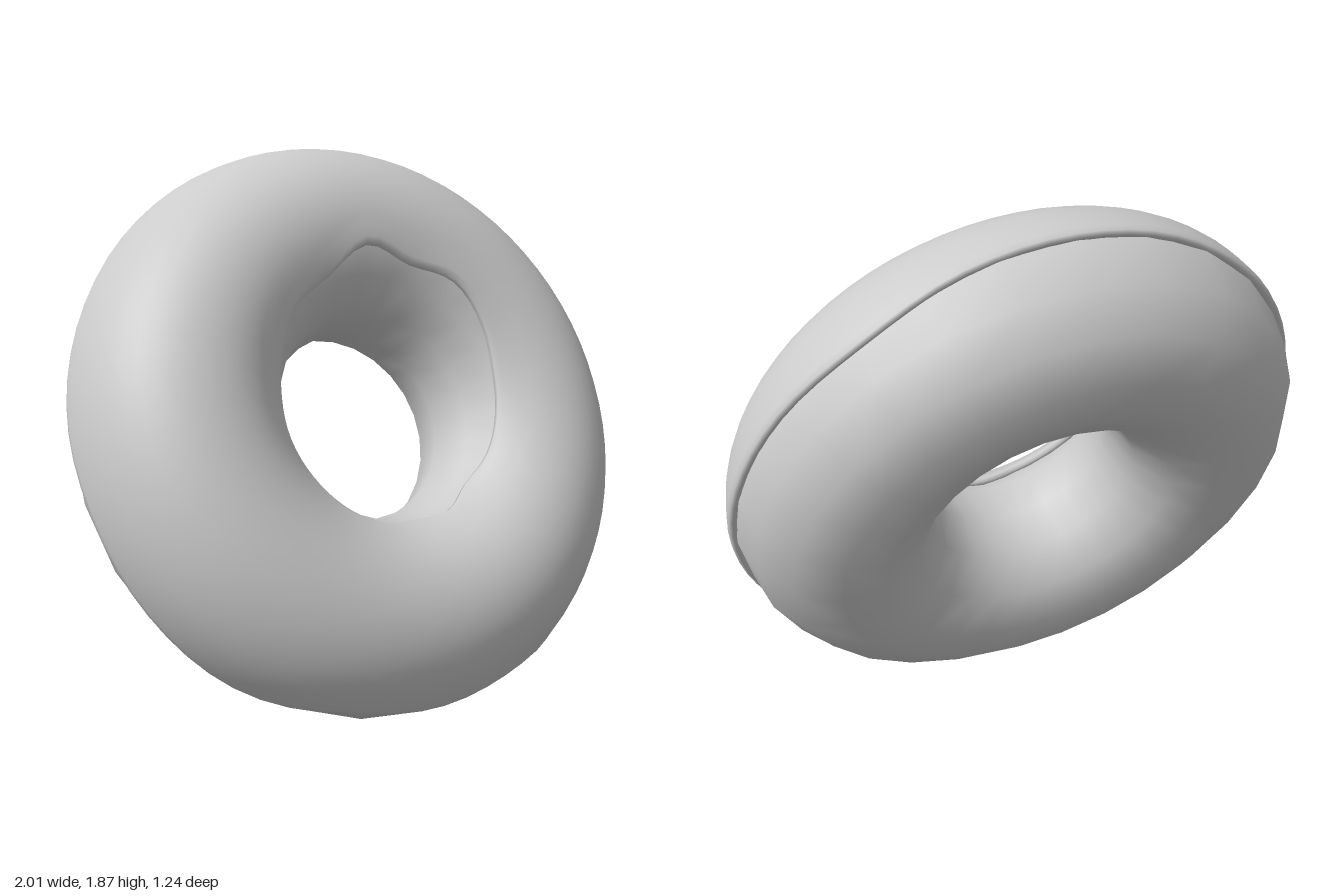
import * as THREE from 'three';

const TAU = Math.PI * 2;
const RING = 0.657;      // radius of the tube's centre line
const CENTRE = -0.02;    // tube centre along the ring's axis
const ICING = { a: 0.343, b: 0.355 };
const DOUGH = { a: 0.328, b: 0.34 };

// Height of the icing's edge every 20 degrees round the ring, from the top clockwise
const OUTER_EDGE = [-0.01, -0.03, -0.07, -0.06, -0.05, -0.03, -0.02, -0.01, 0.12,
  0.1, 0.08, -0.04, -0.04, -0.03, -0.06, -0.05, -0.04, -0.01];
const INNER_EDGE = [0.31, 0.29, 0.3, 0.28, 0.25, 0.23, 0.21, 0.18, 0.2,
  0.18, 0.2, 0.2, 0.19, 0.2, 0.2, 0.23, 0.26, 0.27];

// Smooth periodic interpolation of a table
function sample(table, t) {
  const n = table.length, x = t * n, i = Math.floor(x), f = x - i;
  const [p, q, r, s] = [-1, 0, 1, 2].map(k => table[(i + k + n) % n]);
  return q + 0.5 * f * (r - p + f * (2 * p - 5 * q + 4 * r - s + f * (3 * (q - r) + s - p)));
}

// Sweep a cross-section (a list of [radius, height] per angle) round the ring
function sweep(segments, section, closed) {
  const pos = [], idx = [];
  let count = 0;
  for (let i = 0; i < segments; i++) {
    const t = i / segments, pts = section(t);
    count = pts.length;
    for (const [r, h] of pts) pos.push(r * Math.sin(t * TAU), r * Math.cos(t * TAU), h);
  }
  for (let i = 0; i < segments; i++) {
    const i2 = (i + 1) % segments;
    for (let j = 0; j < (closed ? count : count - 1); j++) {
      const j2 = (j + 1) % count;
      const a = i * count + j, b = i * count + j2, c = i2 * count + j, d = i2 * count + j2;
      idx.push(a, b, c, b, d, c);
    }
  }
  const g = new THREE.BufferGeometry();
  g.setAttribute('position', new THREE.Float32BufferAttribute(pos, 3));
  g.setIndex(idx);
  g.computeVertexNormals();
  return g;
}

const tubePoint = (size, phi, extra = 0) => [
  RING + (size.a + extra) * Math.cos(phi),
  CENTRE + (size.b + extra) * Math.sin(phi),
];

// Round dough ring
function doughSection() {
  return Array.from({ length: 14 }, (_, j) => tubePoint(DOUGH, (j / 14) * TAU));
}

// Icing shell with a rolled lip along both wavy edges
function icingSection(t) {
  const angle = h => Math.asin((h - CENTRE) / ICING.b);
  const start = angle(sample(OUTER_EDGE, t));
  const end = Math.PI - angle(sample(INNER_EDGE, t));
  const lip = [[0.09, -0.035], [0.02, -0.022], [0, -0.008], [0.03, 0.002], [0.09, 0.004]];
  const pts = lip.map(([d, e]) => tubePoint(ICING, start + d, e));
  for (let k = 1; k < 16; k++) {
    pts.push(tubePoint(ICING, THREE.MathUtils.lerp(start + 0.09, end - 0.09, k / 16)));
  }
  for (const [d, e] of lip.slice().reverse()) pts.push(tubePoint(ICING, end - d, e));
  return pts;
}

export function createModel() {
  const group = new THREE.Group();
  group.name = 'doughnut';
  const material = new THREE.MeshStandardMaterial({ color: 0xcccccc, side: THREE.DoubleSide });

  const ring = new THREE.Group();
  ring.name = 'tiltedRing';
  ring.rotation.x = -THREE.MathUtils.degToRad(24.9);
  ring.position.set(0, 0.948, 0.005);

  const dough = new THREE.Mesh(sweep(26, doughSection, true), material);
  dough.name = 'dough';
  const icing = new THREE.Mesh(sweep(72, icingSection, false), material);
  icing.name = 'icing';

  ring.add(dough, icing);
  group.add(ring);
  return group;
}
